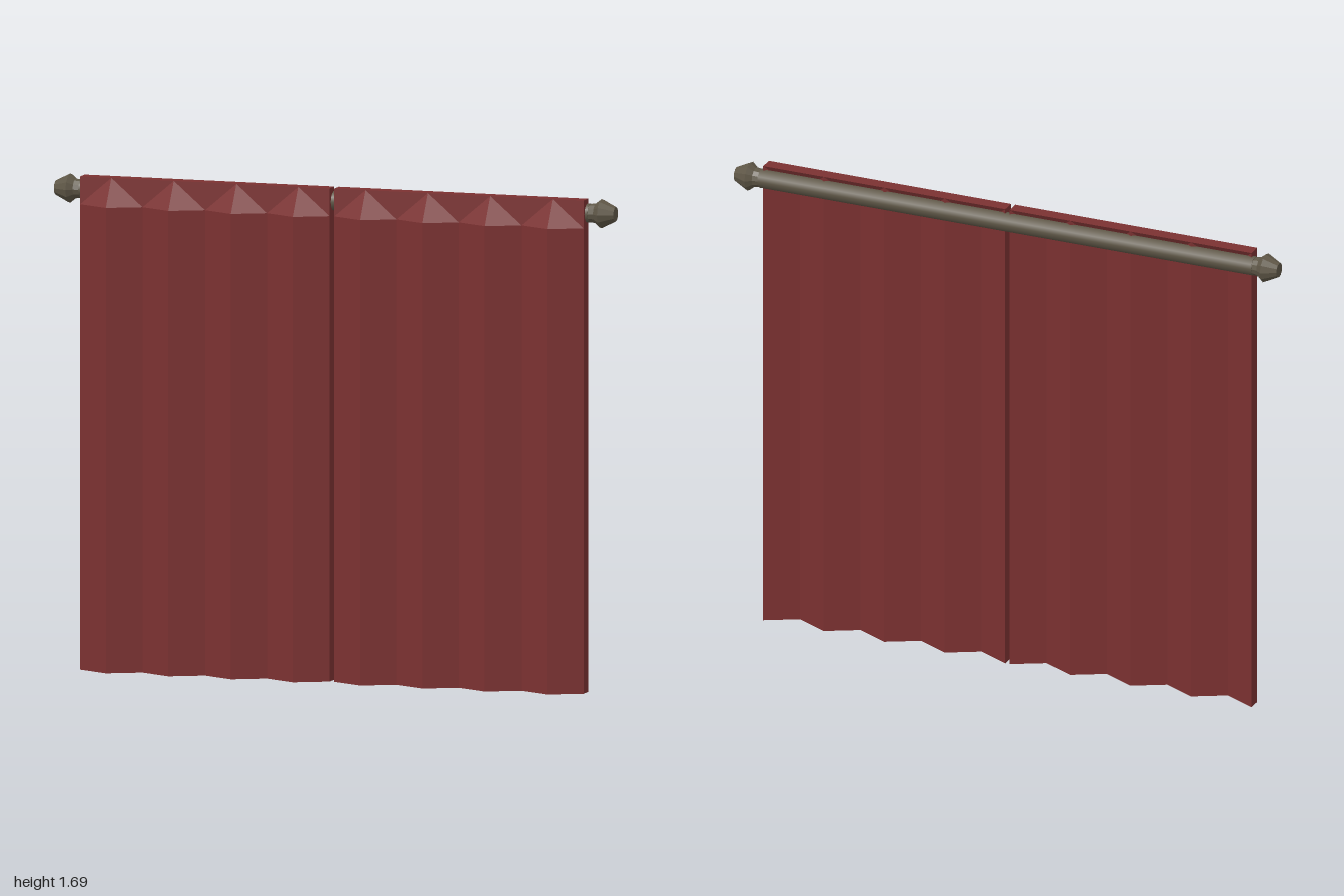
import * as THREE from 'three';
import { toCreasedNormals } from 'three/addons/utils/BufferGeometryUtils.js';

const ROD_Y = 1.637, ROD_Z = -0.025;

// Pleated cloth slab: one cross-section ring per fold line, straight along the top hem
function pleatedPanel(x0, x1, folds) {
  const backZ = -0.03, thick = 0.048, depth = 0.057, top = 1.685, shoulder = 1.59;
  const rings = [];
  for (let i = 0; i <= folds; i++) {
    const x = x0 + (x1 - x0) * i / folds;
    const b = backZ + (i % 2 ? depth : 0), f = b + thick;
    rings.push([
      [x, 0, b], [x, 0, f], [x, shoulder, f],
      [x, top, backZ + thick], [x, top, backZ], [x, shoulder, b],
    ]);
  }
  const pos = [];
  const tri = (...pts) => pts.forEach((p) => pos.push(...p));
  for (let i = 0; i < folds; i++) {
    const A = rings[i], B = rings[i + 1];
    for (let j = 0; j < 6; j++) {
      const k = (j + 1) % 6;
      // mirror the diagonal on every other fold so pleats stay symmetric
      if (i % 2) { tri(A[j], B[j], A[k]); tri(B[j], B[k], A[k]); }
      else { tri(A[j], B[j], B[k]); tri(A[j], B[k], A[k]); }
    }
  }
  // side edges
  const L = rings[0], R = rings[folds];
  for (let j = 1; j < 5; j++) {
    tri(L[0], L[j], L[j + 1]);
    tri(R[0], R[j + 1], R[j]);
  }
  const geo = new THREE.BufferGeometry();
  geo.setAttribute('position', new THREE.Float32BufferAttribute(pos, 3));
  geo.computeVertexNormals();
  return geo;
}

export function createModel() {
  const model = new THREE.Group();
  model.name = 'curtains';
  const cloth = new THREE.MeshStandardMaterial({ color: 0x7b3131, flatShading: true });
  const metal = new THREE.MeshStandardMaterial({ color: 0x5f5747 });

  // two curtain panels with four pleats each
  for (const [name, x0, x1] of [['rightCurtain', -0.9, -0.008], ['leftCurtain', 0.008, 0.9]]) {
    const panel = new THREE.Mesh(pleatedPanel(x0, x1, 8), cloth);
    panel.name = name;
    model.add(panel);
  }

  // rod running behind the top hem
  const rod = new THREE.Mesh(new THREE.CylinderGeometry(0.033, 0.033, 1.82, 12), metal);
  rod.name = 'rod';
  rod.rotation.z = Math.PI / 2;
  rod.position.set(0, ROD_Y, ROD_Z);
  model.add(rod);

  // faceted end knobs
  const profile = [[0, 0], [0.03, 0], [0.034, 0.03], [0.05, 0.05], [0.025, 0.1], [0, 0.1]]
    .map(([r, y]) => new THREE.Vector2(r, y));
  const knob = toCreasedNormals(new THREE.LatheGeometry(profile, 12), 0.4);
  for (const side of [-1, 1]) {
    const finial = new THREE.Mesh(knob, metal);
    finial.name = side > 0 ? 'leftFinial' : 'rightFinial';
    finial.rotation.z = -side * Math.PI / 2;
    finial.position.set(side * 0.9, ROD_Y, ROD_Z);
    model.add(finial);
  }
  return model;
}
